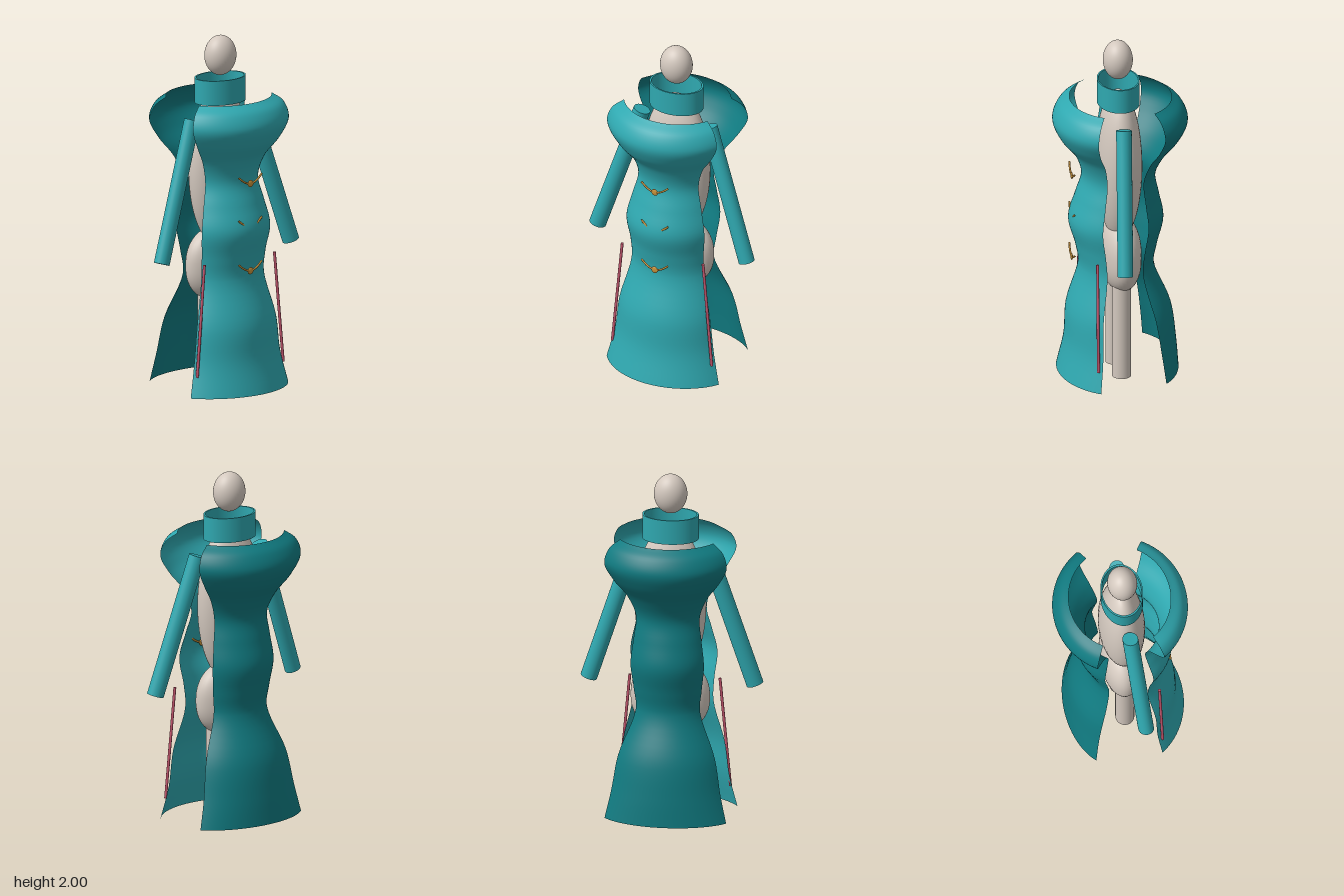
import * as THREE from 'three';

const mat = (name, color, side = THREE.FrontSide) => {
  const m = new THREE.MeshStandardMaterial({ color, side });
  m.name = name;
  return m;
};

export function createModel() {
  const root = new THREE.Group();
  root.name = 'dressedMannequin';
  const skin = mat('warm grey', 0xd3c8be);
  const teal = mat('teal', 0x2fa8b0);
  const frontCloth = mat('teal cloth', 0x2fa8b0, THREE.DoubleSide);
  const backCloth = mat('dark teal cloth', 0x107a80, THREE.DoubleSide);
  const gold = mat('gold', 0xc8923a);
  const pink = mat('rose', 0xc4566e);

  const add = (name, geo, material, x = 0, y = 0, z = 0, parent = root) => {
    const m = new THREE.Mesh(geo, material);
    m.name = name;
    m.position.set(x, y, z);
    parent.add(m);
    return m;
  };
  const ellipsoid = (rx, ry, rz) => new THREE.SphereGeometry(1, 40, 28).scale(rx, ry, rz);
  // Straight rod between two points
  const rod = (name, a, b, r, material, flat = 1) => {
    const dir = b.clone().sub(a);
    const geo = new THREE.CylinderGeometry(r, r, dir.length(), 28).scale(1, 1, flat);
    const m = add(name, geo, material);
    m.position.copy(a).add(b).multiplyScalar(0.5);
    m.quaternion.setFromUnitVectors(new THREE.Vector3(0, 1, 0), dir.normalize());
    return m;
  };

  // Mannequin
  add('head', ellipsoid(0.093, 0.1125, 0.083), skin, 0, 1.8875, 0.0125);
  add('torso', ellipsoid(0.2, 0.45, 0.128), skin, 0, 1.25, 0.008);
  const hipPoints = [];
  for (let i = 0; i <= 32; i++) {
    const t = -Math.PI / 2 + (Math.PI * i) / 32, e = 2 / 2.3;
    hipPoints.push(new THREE.Vector2(Math.max(0, Math.cos(t)) ** e,
      Math.sign(Math.sin(t)) * Math.abs(Math.sin(t)) ** e * 0.21));
  }
  add('hips', new THREE.LatheGeometry(hipPoints, 40).scale(0.222, 1, 0.114), skin, 0, 0.71, 0);

  // Collar: a thin-walled oval ring
  const collarProfile = [[0.93, 0], [1, 0], [1, 0.14], [0.93, 0.14], [0.93, 0]];
  const wall = [];
  for (let i = 0; i < 4; i++) {
    const pair = [collarProfile[i], collarProfile[i + 1]].map(p => new THREE.Vector2(p[0], p[1]));
    wall.push(new THREE.LatheGeometry(pair, 48).scale(0.157, 1, 0.117));
  }
  const collar = new THREE.Group();
  collar.name = 'collar';
  root.add(collar);
  wall.forEach(g => add('collarWall', g, frontCloth, 0, 1.628, 0.01, collar));

  // Limbs and side trims
  for (const s of [1, -1]) {
    const side = s > 0 ? 'left' : 'right';
    add(side + 'Leg', new THREE.CylinderGeometry(0.053, 0.053, 0.6, 28), skin, s * 0.095, 0.3, 0.01);
    rod(side + 'Sleeve', new THREE.Vector3(s * 0.21, 1.55, 0.02),
      new THREE.Vector3(s * 0.465, 0.776, 0.063), 0.048, teal, 0.9);
    rod(side + 'Trim', new THREE.Vector3(s * 0.252, 0.76, 0.177),
      new THREE.Vector3(s * 0.31, 0.13, 0.184), 0.008, pink);
  }

  // Dress panels: curved sheets swept through [half width, height, depth at centre]
  const panel = (name, profile, sign, edge, material) => {
    const curve = new THREE.CatmullRomCurve3(profile.map(p => new THREE.Vector3(...p)));
    const geo = new THREE.PlaneGeometry(1, 1, 36, 72);
    const pos = geo.attributes.position;
    for (let i = 0; i < pos.count; i++) {
      const t = (pos.getX(i) * 2 * Math.PI) / 3;
      const p = curve.getPoint(pos.getY(i) + 0.5);
      const k = edge(p.y);
      pos.setXYZ(i, (sign * p.x * Math.sin(t)) / Math.sin(Math.PI / 3), p.y,
        sign * p.z * (k + (1 - k) * (2 * Math.cos(t) - 1)));
    }
    geo.computeVertexNormals();
    add(name, geo, material);
  };
  panel('frontPanel', [
    [0.35, 0.015, 0.352], [0.308, 0.2, 0.312], [0.283, 0.4, 0.3], [0.225, 0.65, 0.232],
    [0.228, 0.78, 0.25], [0.243, 0.93, 0.288], [0.215, 1.07, 0.25], [0.188, 1.2, 0.215],
    [0.22, 1.32, 0.25], [0.295, 1.43, 0.335], [0.342, 1.53, 0.375], [0.32, 1.61, 0.345], [0.26, 1.66, 0.28],
  ], 1, () => 0.5, frontCloth);
  panel('backPanel', [
    [0.34, 0.04, 0.318], [0.305, 0.2, 0.307], [0.27, 0.4, 0.28], [0.18, 0.65, 0.186],
    [0.19, 0.78, 0.205], [0.205, 0.93, 0.24], [0.19, 1.07, 0.215], [0.178, 1.2, 0.195],
    [0.22, 1.32, 0.25], [0.295, 1.43, 0.335], [0.342, 1.53, 0.375], [0.32, 1.61, 0.345], [0.26, 1.66, 0.285],
  ], -1, y => 0.5 + 0.12 * Math.max(0, 1 - y / 0.5), backCloth);

  // Clasps: a knob with two swept wings
  for (const y of [1.205, 0.96, 0.71]) {
    const clasp = new THREE.Group();
    clasp.name = 'clasp';
    clasp.position.set(0, y, 0.273);
    root.add(clasp);
    add('knob', ellipsoid(0.02, 0.02, 0.006), gold, 0, -0.003, 0, clasp);
    for (const s of [1, -1]) {
      const path = new THREE.CatmullRomCurve3([
        new THREE.Vector3(0, -0.008, 0), new THREE.Vector3(s * 0.045, 0.012, 0),
        new THREE.Vector3(s * 0.085, 0.042, -0.004),
      ]);
      add('wing', new THREE.TubeGeometry(path, 12, 0.0055, 8), gold, 0, 0, 0, clasp);
    }
  }
  return root;
}
